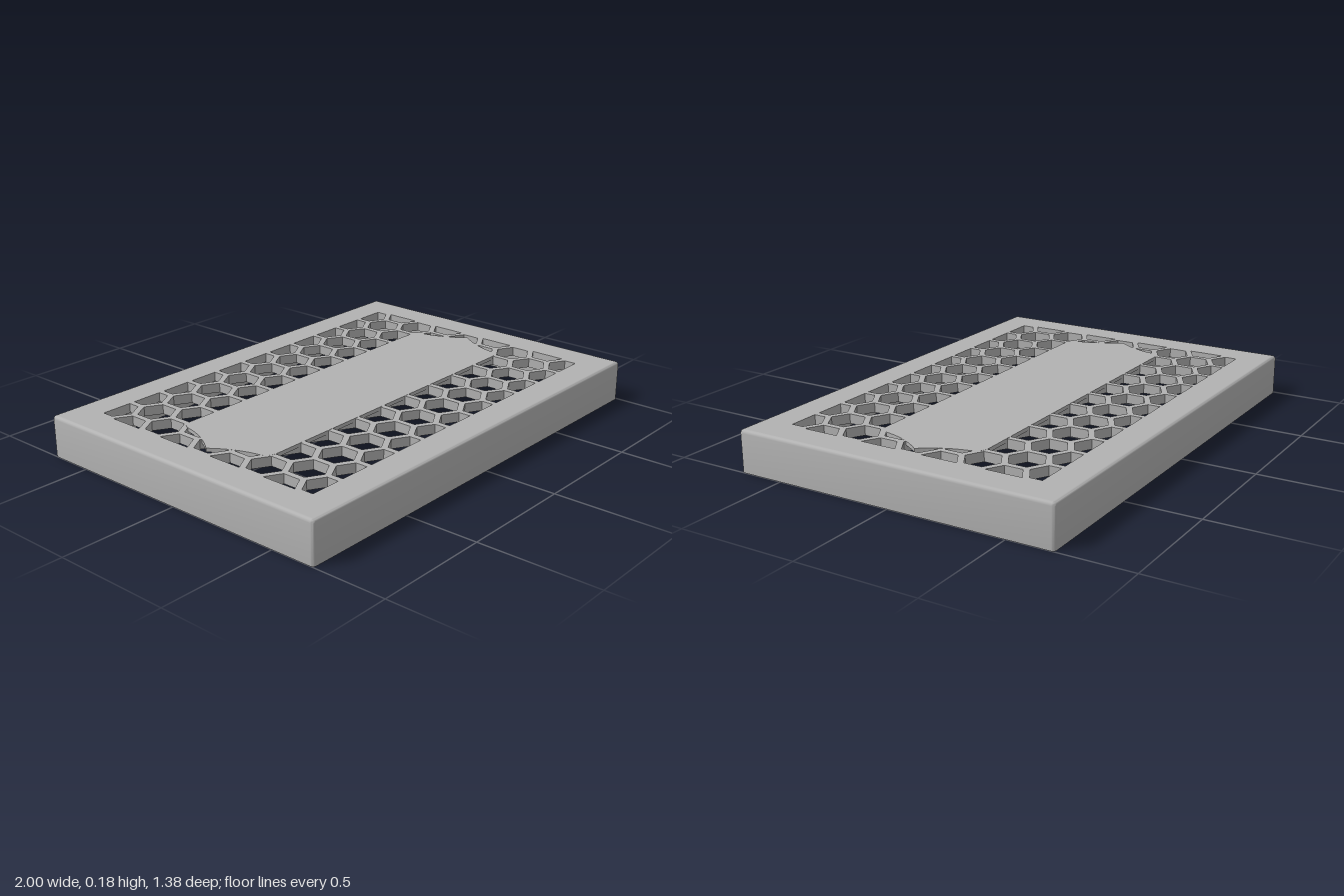
import * as THREE from 'three';
import { toCreasedNormals } from 'three/addons/utils/BufferGeometryUtils.js';

const W = 1, D = 0.692, H = 0.175;      // half width, half depth, height
const WALL = 0.014, PLATE = 0.04;       // wall and plate thickness
const PITCH = 0.157, ROW = PITCH * Math.sqrt(3) / 2;

// Rounded rectangle loop, inset from the outer footprint
function loop(inset, y) {
  const r = Math.max(0, WALL - inset), pts = [];
  for (let c = 0; c < 4; c++) {
    const sx = c === 0 || c === 3 ? 1 : -1, sz = c < 2 ? 1 : -1;
    for (let k = 0; k <= 4; k++) {
      const a = (c + k / 4) * Math.PI / 2;
      pts.push([sx * (W - inset - r) + r * Math.cos(a), y, sz * (D - inset - r) + r * Math.sin(a)]);
    }
  }
  return pts;
}

// Skin between successive loops
function skin(loops) {
  const pos = [];
  for (let j = 0; j < loops.length - 1; j++) {
    const a = loops[j], b = loops[j + 1], n = a.length;
    for (let i = 0; i < n; i++) {
      const m = (i + 1) % n;
      pos.push(...a[i], ...b[i], ...a[m], ...a[m], ...b[i], ...b[m]);
    }
  }
  const g = new THREE.BufferGeometry();
  g.setAttribute('position', new THREE.Float32BufferAttribute(pos, 3));
  return toCreasedNormals(g, 0.6);
}

// Flat slab whose upper face lies at height top
function slab(shape, depth, top) {
  const g = new THREE.ExtrudeGeometry(shape, { depth, bevelEnabled: false, curveSegments: 10 });
  return g.rotateX(-Math.PI / 2).translate(0, top - depth, 0);
}

// Honeycomb hole, cut off at the edge of the vent window
function hexHole(cx, cz) {
  const R = 0.0762, pts = [];
  for (let i = 0; i < 6; i++) {
    const a = Math.PI / 6 + i * Math.PI / 3;
    pts.push(new THREE.Vector2(
      THREE.MathUtils.clamp(cx + R * Math.cos(a), -5.5 * PITCH, 5.5 * PITCH),
      THREE.MathUtils.clamp(cz + R * Math.sin(a), -0.557, 0.557)));
  }
  return new THREE.Path(pts);
}

export function createModel() {
  const group = new THREE.Group();
  const grey = new THREE.MeshStandardMaterial({ color: 0xb2b2b2 });
  grey.name = 'grey plastic';
  const add = (geometry, name) => {
    const mesh = new THREE.Mesh(geometry, grey);
    mesh.name = name;
    group.add(mesh);
    return mesh;
  };

  // Thin side walls with a rounded upper edge, open underneath
  const loops = [loop(WALL, H - PLATE), loop(WALL, 0), loop(0, 0)];
  for (let k = 0; k <= 4; k++) {
    const a = k * Math.PI / 8;
    loops.push(loop(WALL * (1 - Math.cos(a)), H - WALL + WALL * Math.sin(a)));
  }
  add(skin(loops), 'sideWalls');

  // Top plate pierced by the honeycomb vent
  const w = W - WALL, d = D - WALL;
  const plate = new THREE.Shape([[-w, -d], [w, -d], [w, d], [-w, d]].map(p => new THREE.Vector2(...p)));
  for (let row = -4; row <= 4; row++) {
    const odd = row % 2 !== 0;
    for (let n = odd ? -5.5 : -5; n <= 5.5; n++) plate.holes.push(hexHole(n * PITCH, row * ROW));
  }
  add(slab(plate, PLATE, H), 'honeycombTop');

  // Central panel with pointed, inward-curved ends
  const panel = new THREE.Shape();
  panel.moveTo(-0.68, -0.232);
  panel.lineTo(0.68, -0.232);
  panel.quadraticCurveTo(0.73, -0.232, 0.738, -0.19);
  panel.quadraticCurveTo(0.755, -0.09, 0.825, 0);
  panel.quadraticCurveTo(0.755, 0.09, 0.738, 0.19);
  panel.quadraticCurveTo(0.73, 0.232, 0.68, 0.232);
  panel.lineTo(-0.68, 0.232);
  panel.quadraticCurveTo(-0.73, 0.232, -0.738, 0.19);
  panel.quadraticCurveTo(-0.755, 0.09, -0.825, 0);
  panel.quadraticCurveTo(-0.755, -0.09, -0.738, -0.19);
  panel.quadraticCurveTo(-0.73, -0.232, -0.68, -0.232);
  add(slab(panel, 0.016, H + 0.0005), 'centrePanel');

  // Small snap nubs inside the long walls
  for (const sz of [-1, 1]) for (const sx of [-1, 1]) {
    const nub = add(new THREE.SphereGeometry(0.012, 12, 8), 'snapNub');
    nub.position.set(sx * 0.655, 0.08, sz * (D - WALL));
  }
  return group;
}
